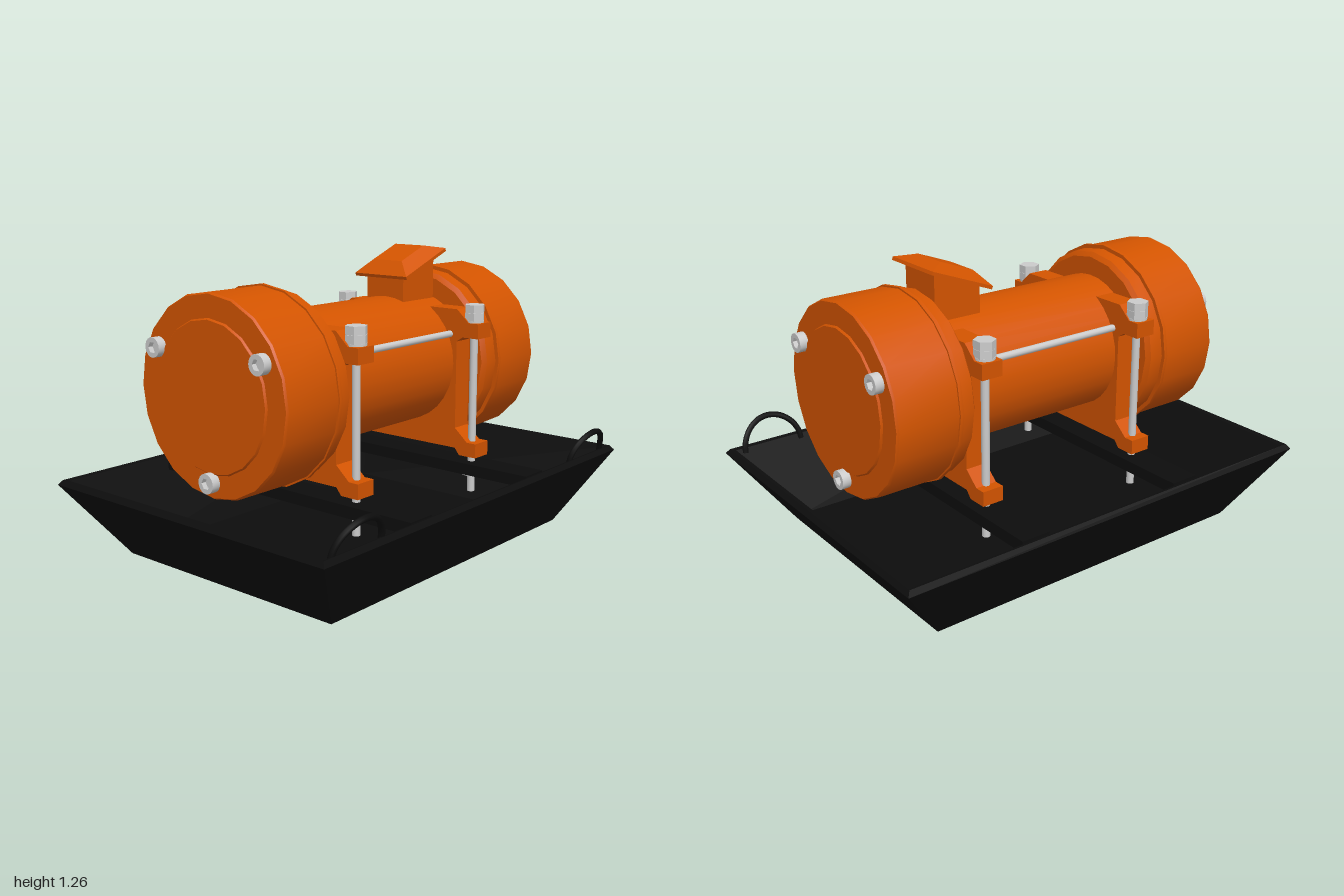
import * as THREE from 'three';
import { toCreasedNormals } from 'three/addons/utils/BufferGeometryUtils.js';

const CX = -0.012, AXIS = 0.76;
const orange = new THREE.MeshStandardMaterial({ color: 0xd35400 });
const black = new THREE.MeshStandardMaterial({ color: 0x0d0d0d });
const steel = new THREE.MeshStandardMaterial({ color: 0xcccccc });

function add(parent, name, geometry, material, x = 0, y = 0, z = 0) {
  const mesh = new THREE.Mesh(geometry, material);
  mesh.name = name;
  mesh.position.set(x, y, z);
  parent.add(mesh);
  return mesh;
}

const polygon = pts => new THREE.Shape(pts.map(p => new THREE.Vector2(p[0], p[1])));
const extrude = (shape, depth) => new THREE.ExtrudeGeometry(shape, { depth, bevelEnabled: false, curveSegments: 10 });

// Flat-shaded skin through rectangular sections [halfX, halfZ, y], capped at both ends
function rectLoft(sections) {
  const rings = sections.map(([hx, hz, y]) => [[-hx, y, hz], [hx, y, hz], [hx, y, -hz], [-hx, y, -hz]]);
  const pos = [];
  const quad = (a, b, c, d) => pos.push(...a, ...b, ...c, ...a, ...c, ...d);
  for (let i = 0; i < rings.length - 1; i++) {
    for (let k = 0; k < 4; k++) {
      const n = (k + 1) % 4;
      quad(rings[i][k], rings[i][n], rings[i + 1][n], rings[i + 1][k]);
    }
  }
  quad(rings[0][3], rings[0][2], rings[0][1], rings[0][0]);
  quad(...rings[rings.length - 1]);
  const g = new THREE.BufferGeometry();
  g.setAttribute('position', new THREE.Float32BufferAttribute(pos, 3));
  g.computeVertexNormals();
  return g;
}

export function createModel() {
  const model = new THREE.Group();
  model.name = 'vibratingMotorOnTray';

  // Open tray with sloping walls
  add(model, 'tray', rectLoft([
    [0.563, 0.77, 0], [0.7375, 1, 0.32], [0.722, 0.985, 0.34],
    [0.705, 0.965, 0.335], [0.548, 0.735, 0.02],
  ]), black, CX);

  // Mounting bars across the tray
  for (const s of [1, -1]) {
    add(model, 'mountingBar', new THREE.BoxGeometry(1.36, 0.05, 0.13), black, CX, 0.303, s * 0.395);
  }

  // Lifting handles on the left rim
  for (const s of [1, -1]) {
    const pts = [];
    for (let i = 0; i <= 12; i++) {
      const a = Math.PI * i / 12, h = Math.sin(a);
      pts.push(new THREE.Vector3(0.685 + 0.02 * h + 0.025 * h * h, 0.315 + 0.13 * h, s * 0.79 + 0.135 * Math.cos(a)));
    }
    add(model, 'handle', new THREE.TubeGeometry(new THREE.CatmullRomCurve3(pts), 28, 0.013, 8), black);
  }

  // Motor barrel
  const barrel = new THREE.CylinderGeometry(0.285, 0.285, 0.92, 32, 1, true).rotateX(Math.PI / 2);
  add(model, 'barrel', barrel, orange, CX, AXIS, 0);

  // End covers: shoulder, flange, drum and raised end disc
  const coverProfile = [
    [0.2, 0.447], [0.365, 0.447], [0.385, 0.462], [0.388, 0.522], [0.405, 0.522], [0.405, 0.538],
    [0.398, 0.538], [0.398, 0.803], [0.392, 0.812], [0.302, 0.812], [0.296, 0.82], [0, 0.82],
  ].map(p => new THREE.Vector2(p[0], p[1]));
  const coverGeo = toCreasedNormals(new THREE.LatheGeometry(coverProfile, 20).rotateX(Math.PI / 2), 0.5);

  // Socket-head screw: round head with a hexagonal recess
  const headShape = new THREE.Shape().absarc(0, 0, 0.04, 0, Math.PI * 2);
  const hex = [];
  for (let i = 0; i < 6; i++) {
    hex.push(new THREE.Vector2(Math.cos(-i * Math.PI / 3), Math.sin(-i * Math.PI / 3)).multiplyScalar(0.023));
  }
  headShape.holes.push(new THREE.Path(hex));
  const headGeo = toCreasedNormals(extrude(headShape, 0.038), 0.7);
  const socketGeo = new THREE.CircleGeometry(0.025, 6);

  for (const s of [1, -1]) {
    const end = new THREE.Group();
    end.name = s > 0 ? 'frontEnd' : 'backEnd';
    end.position.set(CX, AXIS, 0);
    if (s < 0) end.rotation.y = Math.PI;
    add(end, 'endCover', coverGeo, orange);
    for (const deg of [30, 150, 270]) {
      const a = deg * Math.PI / 180, x = 0.328 * Math.cos(a), y = 0.328 * Math.sin(a);
      add(end, 'screwHead', headGeo, steel, x, y, 0.811);
      add(end, 'screwSocket', socketGeo, steel, x, y, 0.828);
    }
    model.add(end);
  }

  // Tie rods along the barrel
  const rodGeo = new THREE.CylinderGeometry(0.015, 0.015, 0.9, 12).rotateX(Math.PI / 2);
  for (const [x, y] of [[-0.265, 0.89], [0.265, 0.89], [0, 0.473]]) {
    add(model, 'tieRod', rodGeo, steel, CX + x, y, 0);
  }

  // Foot brackets with upper lugs, mirrored about the motor axis
  const half = [
    [0.33, 0.385], [0.325, 0.355], [0.41, 0.355], [0.41, 0.418], [0.365, 0.418],
    [0.3, 0.475], [0.3, 0.86], [0.33, 0.88], [0.41, 0.88], [0.41, 0.945],
    [0.36, 0.945], [0.3, 1.0], [0.19, 1.0],
  ];
  half[0][0] = 0.3;
  const outline = [...half, ...half.map(([x, y]) => [-x, y]).reverse()];
  const bracketGeo = extrude(polygon(outline), 0.095).translate(0, 0, -0.0475);

  // Vertical mounting bolts with stacked nuts
  const stud = new THREE.CylinderGeometry(0.017, 0.017, 0.82, 12);
  const washer = new THREE.CylinderGeometry(0.042, 0.042, 0.01, 16);
  const nut = new THREE.CylinderGeometry(0.045, 0.045, 0.034, 6).toNonIndexed();
  nut.computeVertexNormals();
  for (const sz of [1, -1]) {
    add(model, 'footBracket', bracketGeo, orange, CX, 0, sz * 0.395);
    for (const sx of [1, -1]) {
      const bolt = new THREE.Group();
      bolt.name = 'mountingBolt';
      bolt.position.set(CX + sx * 0.36, 0, sz * 0.393);
      add(bolt, 'stud', stud, steel, 0, 0.6, 0);
      add(bolt, 'upperWasher', washer, steel, 0, 0.95, 0);
      add(bolt, 'lowerNut', nut, steel, 0, 0.97, 0).rotation.y = Math.PI / 6;
      add(bolt, 'upperNut', nut, steel, 0, 1.005, 0).rotation.y = Math.PI / 2;
      add(bolt, 'bottomWasher', washer, steel, 0, 0.272, 0);
      model.add(bolt);
    }
  }

  // Terminal box: slanted neck under a tilted, bevelled lid
  const neck = extrude(polygon([[0.225, 0.99], [0.44, 0.99], [0.44, 1.222], [0.225, 1.142]]), 0.2)
    .translate(0, 0, -0.1).rotateY(Math.PI / 2);
  add(model, 'terminalBoxNeck', neck, orange, CX);
  const lid = rectLoft([[0.142, 0.15, 0], [0.142, 0.15, 0.014], [0.078, 0.082, 0.053]]);
  add(model, 'terminalBoxLid', lid, orange, CX, 1.18, -0.336).rotation.x = 0.36;

  return model;
}
